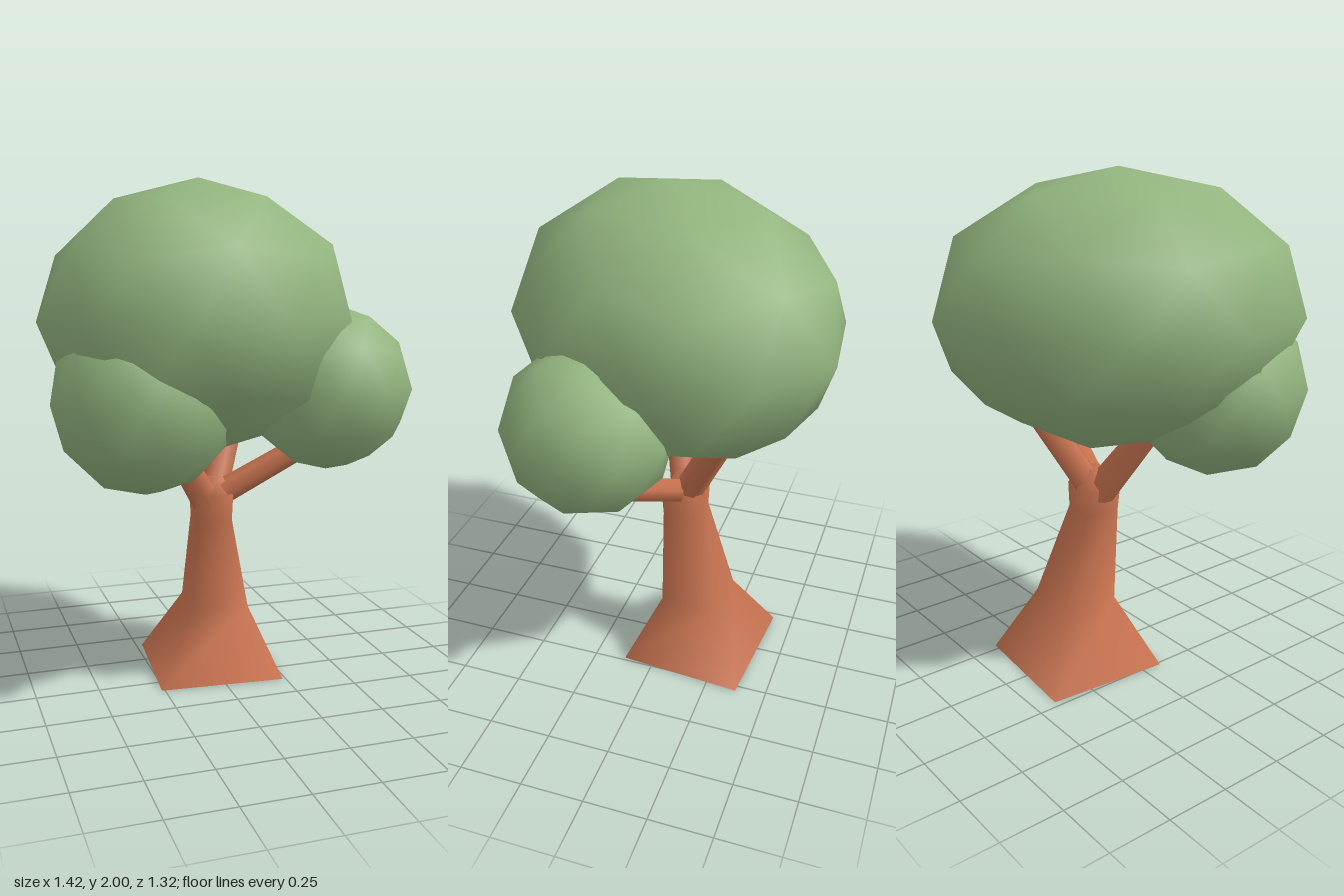
import * as THREE from 'three';

const V = (x, y, z) => new THREE.Vector3(x, y, z);

export function createModel() {
  const tree = new THREE.Group();
  tree.name = 'tree';
  const leaf = new THREE.MeshStandardMaterial({ color: 0x93b57f });
  leaf.name = 'leaf green';
  const bark = new THREE.MeshStandardMaterial({ color: 0xc87350 });
  bark.name = 'bark brown';

  const add = (name, geometry, material) => {
    const mesh = new THREE.Mesh(geometry, material);
    mesh.name = name;
    tree.add(mesh);
    return mesh;
  };

  // Foliage: smooth icosphere with a vertex at the pole, stretched and turned
  const foliage = (name, center, radii, turn) => {
    const g = new THREE.IcosahedronGeometry(1, 1);
    g.rotateZ(-Math.atan(2 / (1 + Math.sqrt(5))));
    g.scale(...radii);
    g.rotateY(THREE.MathUtils.degToRad(turn));
    g.translate(...center);
    add(name, g, leaf);
  };
  foliage('mainCrown', [-0.08, 1.475, 0], [0.71, 0.525, 0.596], 235);
  foliage('leftFoliage', [0.385, 1.21, 0.18], [0.325, 0.325, 0.325], 94);
  foliage('rightFoliage', [-0.36, 1.2, 0.25], [0.345, 0.35, 0.345], 94);

  // Trunk: square sections, slightly twisted: [centre x, y, centre z, half width]
  const sections = [
    [0.007, 0, -0.147, 0.25],
    [0.025, 0.28, -0.135, 0.115],
    [-0.01, 0.66, -0.067, 0.07],
    [-0.012, 0.76, -0.065, 0.075],
    [-0.005, 0.83, -0.06, 0.035],
  ];
  const corners = [[1, 1], [1, -1], [-1, -1], [-1, 1]];
  const twist = 0.08;
  const pos = [], index = [];
  const ring = ([cx, y, cz, h]) => corners.forEach(([a, b]) => pos.push(
    cx + h * (a - b * twist), y, cz + h * (b + a * twist)));
  sections.forEach(ring);
  for (let s = 0; s < sections.length - 1; s++) {
    for (let i = 0; i < 4; i++) {
      const a = s * 4 + i, b = s * 4 + (i + 1) % 4;
      index.push(a, b, b + 4, a, b + 4, a + 4);
    }
  }
  const top = (sections.length - 1) * 4;
  index.push(top, top + 1, top + 2, top, top + 2, top + 3);
  // Underside has its own corners so the bottom edge stays sharp
  const base = pos.length / 3;
  ring(sections[0]);
  index.push(base, base + 2, base + 1, base, base + 3, base + 2);
  const trunk = new THREE.BufferGeometry();
  trunk.setAttribute('position', new THREE.Float32BufferAttribute(pos, 3));
  trunk.setIndex(index);
  trunk.computeVertexNormals();
  add('trunk', trunk, bark);

  // Branches reaching up into each clump of foliage
  const branch = (name, from, to, r0, r1) => {
    const dir = to.clone().sub(from);
    const mesh = add(name, new THREE.CylinderGeometry(r1, r0, dir.length(), 6), bark);
    mesh.position.copy(from).addScaledVector(dir, 0.5);
    mesh.quaternion.setFromUnitVectors(V(0, 1, 0), dir.normalize());
  };
  branch('leftBranch', V(0.01, 0.755, -0.045), V(0.4, 0.98, 0.04), 0.052, 0.046);
  branch('rightBranch', V(-0.035, 0.73, -0.06), V(-0.24, 1.06, 0.06), 0.065, 0.05);
  branch('backBranch', V(-0.005, 0.74, -0.07), V(0.15, 1.1, -0.25), 0.06, 0.055);

  return tree;
}
